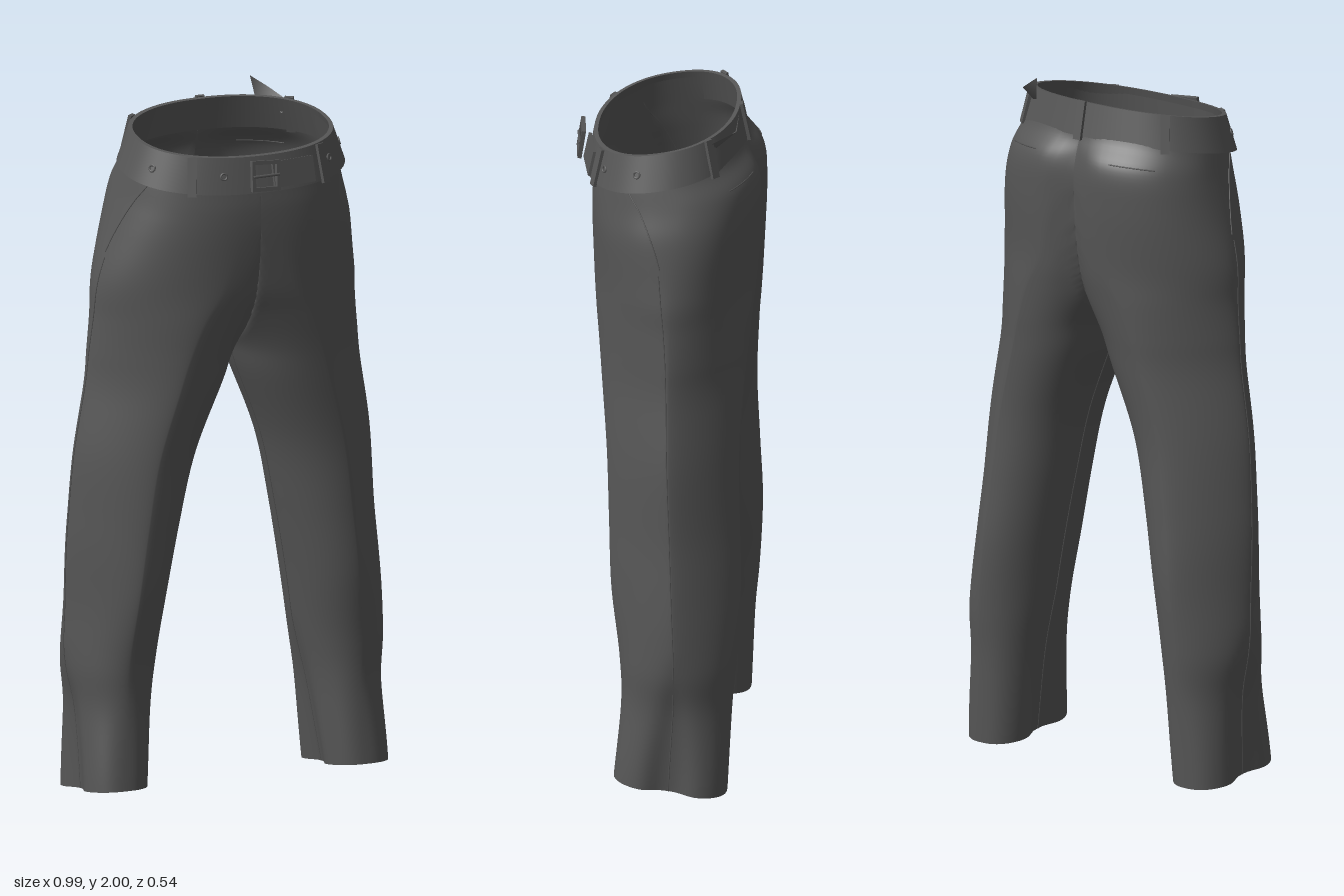
import * as THREE from 'three';

const cloth = new THREE.MeshStandardMaterial({ color: 0x565656, side: THREE.DoubleSide });
cloth.name = 'charcoal cloth';

// cross-sections of one leg: height, inner x, outer x, centre x, front z, back z
const SECTIONS = [
  [0.025, 0.272, 0.479, 0.375, 0.122, -0.2],
  [0.25, 0.25, 0.475, 0.36, 0.103, -0.212],
  [0.4, 0.226, 0.493, 0.36, 0.108, -0.226],
  [0.6, 0.195, 0.488, 0.34, 0.133, -0.236],
  [0.8, 0.157, 0.475, 0.315, 0.142, -0.23],
  [1.0, 0.112, 0.46, 0.285, 0.151, -0.225],
  [1.2, 0.036, 0.428, 0.23, 0.17, -0.236],
  [1.3, 0, 0.418, 0.2, 0.18, -0.245],
  [1.4, -0.07, 0.407, 0.16, 0.192, -0.254],
  [1.5, -0.16, 0.399, 0.1, 0.203, -0.263],
  [1.65, -0.3, 0.366, 0.05, 0.211, -0.273],
  [1.75, -0.3, 0.336, 0.02, 0.212, -0.268],
  [1.82, -0.3, 0.316, 0, 0.207, -0.224],
  [1.9, -0.3, 0.293, 0, 0.2, -0.195],
];
const LAST = SECTIONS.length - 1;

// smooth blend of the sections, t runs from hem to waist
function section(t) {
  const i = Math.min(Math.floor(t), LAST - 1), f = t - i;
  const at = (k) => SECTIONS[Math.min(Math.max(k, 0), LAST)];
  return at(i).map((b, j) => {
    const a = at(i - 1)[j], c = at(i + 1)[j], d = at(i + 2)[j];
    return b + 0.5 * f * (c - a + f * (2 * a - 5 * b + 4 * c - d + f * (3 * (b - c) + d - a)));
  });
}

const power = (v, p) => Math.sign(v) * Math.abs(v) ** p;
const smooth = THREE.MathUtils.smoothstep;

// point on one half of the trousers, side is 1 for left and -1 for right
function surface(side, t, a) {
  const [v, xi, xo, cx, zf, zb] = section(t);
  const cos = Math.cos(a), sin = Math.sin(a);
  // boxy at the hem and waist; the leg is oval inside and ridged along the outer seam
  const p = cos > 0
    ? 0.8 + 0.7 * smooth(v, 0.05, 0.65) - 0.65 * smooth(v, 1.15, 1.8)
    : 0.8 + 0.2 * smooth(v, 0, 0.5) - 0.15 * smooth(v, 0.8, 1.3);
  const c = power(cos, p), s = power(sin, p);
  let x = cx + c * (c > 0 ? xo - cx : cx - xi);
  let z = (zf + zb) / 2 + s * (zf - zb) / 2;
  // folds along both seams above the hem
  x -= Math.sign(cos) * 0.032 * Math.max(0, 1 - v / 0.45) * Math.exp(-((sin / 0.27) ** 2));
  // the right thigh hangs slightly wider than the left
  x -= side * 0.012 * Math.max(0, c) * smooth(v, 0.5, 0.8) * (1 - smooth(v, 1.5, 1.7));
  x = Math.max(0, x);
  // centre groove at the seat
  if (s < 0) z *= 1 - 0.1 * smooth(v, 1.3, 1.5) * (1 - smooth(v, 1.75, 1.85)) * Math.exp(-((x / 0.05) ** 2));
  // sloping waist and hem
  const y = v - 0.18 * z * smooth(v, 1.5, 1.85) + 0.125 * z * (1 - smooth(v, 0.025, 0.4));
  return new THREE.Vector3(x * side, y, z);
}

function add(group, name, geometry) {
  const mesh = new THREE.Mesh(geometry, cloth);
  mesh.name = name;
  group.add(mesh);
  return mesh;
}

function meshGeometry(pos, index) {
  const g = new THREE.BufferGeometry();
  g.setAttribute('position', new THREE.Float32BufferAttribute(pos, 3));
  g.setIndex(index);
  g.computeVertexNormals();
  return g;
}

function legGeometry(side) {
  const rows = 104, cols = 80, pos = [], index = [];
  for (let r = 0; r <= rows; r++) {
    for (let k = 0; k < cols; k++) {
      pos.push(...surface(side, (r / rows) * LAST, (k / cols) * Math.PI * 2).toArray());
    }
  }
  for (let r = 0; r < rows; r++) {
    for (let k = 0; k < cols; k++) {
      const n = (k + 1) % cols;
      const a = r * cols + k, b = r * cols + n, c = a + cols, d = b + cols;
      // leave the halves open to each other above the crotch
      if ([a, b, c, d].every((i) => Math.abs(pos[i * 3]) < 1e-6)) continue;
      if (side > 0) index.push(a, c, b, b, c, d);
      else index.push(a, b, c, b, d, c);
    }
  }
  return meshGeometry(pos, index);
}

// thin raised seam along the cloth, from (t0, a0) to (t1, a1)
function seam(group, name, side, t0, a0, t1, a1) {
  const pts = [];
  for (let i = 0; i <= 30; i++) {
    pts.push(surface(side, t0 + ((t1 - t0) * i) / 30, a0 + ((a1 - a0) * i) / 30));
  }
  add(group, name, new THREE.TubeGeometry(new THREE.CatmullRomCurve3(pts), 60, 0.002, 5));
}

// point on the belt: a around the waist, h from bottom 0 to top 1, out = offset
function beltPoint(a, h, out = 0) {
  const rx = 0.335 - 0.035 * h + out, rz = 0.227 - 0.02 * h + out;
  const z = rz * power(Math.sin(a), 0.9) + 0.004;
  return new THREE.Vector3(rx * power(Math.cos(a), 0.9), 1.82 + 0.1 * h - 0.18 * z, z);
}

function beltGeometry() {
  const n = 96, pos = [], index = [];
  const profile = [[0, -0.012], [0, 0], [0, 0], [1, 0], [1, 0], [1, -0.012], [1, -0.012], [0, -0.012]];
  for (const [h, out] of profile)
    for (let k = 0; k < n; k++) pos.push(...beltPoint((k / n) * Math.PI * 2, h, out).toArray());
  for (let j = 0; j < profile.length; j += 2) {
    for (let k = 0; k < n; k++) {
      const a = j * n + k, b = j * n + ((k + 1) % n), c = a + n, d = b + n;
      index.push(a, c, b, b, c, d);
    }
  }
  return meshGeometry(pos, index);
}

// place a part on the belt, facing outwards
function onBelt(mesh, a, h, out) {
  const p = beltPoint(a, h, out);
  mesh.position.copy(p);
  mesh.lookAt(p.x + Math.cos(a) / 0.33, p.y + 0.95, p.z + Math.sin(a) / 0.22);
}

export function createModel() {
  const model = new THREE.Group();
  model.name = 'trousers';

  for (const side of [1, -1]) {
    const label = side > 0 ? 'left' : 'right';
    add(model, label + 'Leg', legGeometry(side));
    seam(model, label + 'SideSeam', side, 0, 0, 9.5, 0.12);
    seam(model, label + 'Inseam', side, 0, Math.PI, 6.9, Math.PI);
    seam(model, label + 'PocketSeam', side, 9.6, 0.1, 12.3, 0.45);
    seam(model, label + 'BackPocketSeam', side, 11.2, -1.25, 11.2, -0.75);
  }

  add(model, 'belt', beltGeometry());

  // belt loops
  for (const a of [0.93, Math.PI - 0.93, -Math.PI / 2, -0.7, Math.PI + 0.7]) {
    onBelt(add(model, 'beltLoop', new THREE.BoxGeometry(0.026, 0.112, 0.01)), a, 0.46, 0.004);
  }

  // belt eyelets
  for (const a of [0.24, 0.78, 1.35, Math.PI - 1.24, Math.PI - 0.44]) {
    onBelt(add(model, 'eyelet', new THREE.TorusGeometry(0.009, 0.003, 6, 14)), a, 0.5, 0.001);
  }

  // buckle frame, prong and belt tab
  const buckle = new THREE.Group();
  buckle.name = 'buckle';
  const polygon = (points) => points.map((p) => new THREE.Vector2(...p));
  const frame = new THREE.Shape(polygon([[-0.048, -0.042], [0.044, -0.046], [0.048, 0.04], [-0.044, 0.046]]));
  frame.holes.push(new THREE.Path(polygon([[-0.036, -0.031], [-0.034, 0.034], [0.037, 0.03], [0.034, -0.034]])));
  add(buckle, 'buckleFrame', new THREE.ExtrudeGeometry(frame, { depth: 0.012, bevelEnabled: false }));
  const prong = add(buckle, 'buckleProng', new THREE.CylinderGeometry(0.004, 0.004, 0.085, 8));
  prong.rotation.z = Math.PI / 2;
  prong.position.z = 0.012;
  buckle.position.set(-0.005, 1.832, 0.244);
  buckle.rotation.set(-0.15, 0.12, 0);
  model.add(buckle);
  onBelt(add(model, 'beltTab', new THREE.BoxGeometry(0.14, 0.075, 0.008)), 1.3, 0.45, 0.002);

  // loose pointed strap end at the back
  add(model, 'strapEnd', meshGeometry([
    0.16, 2.0, -0.215, 0.17, 1.945, -0.205, 0.215, 1.962, -0.212, 0.25, 1.93, -0.135, 0.225, 1.9, -0.14,
  ], [0, 1, 2, 2, 1, 4, 2, 4, 3]));

  return model;
}
